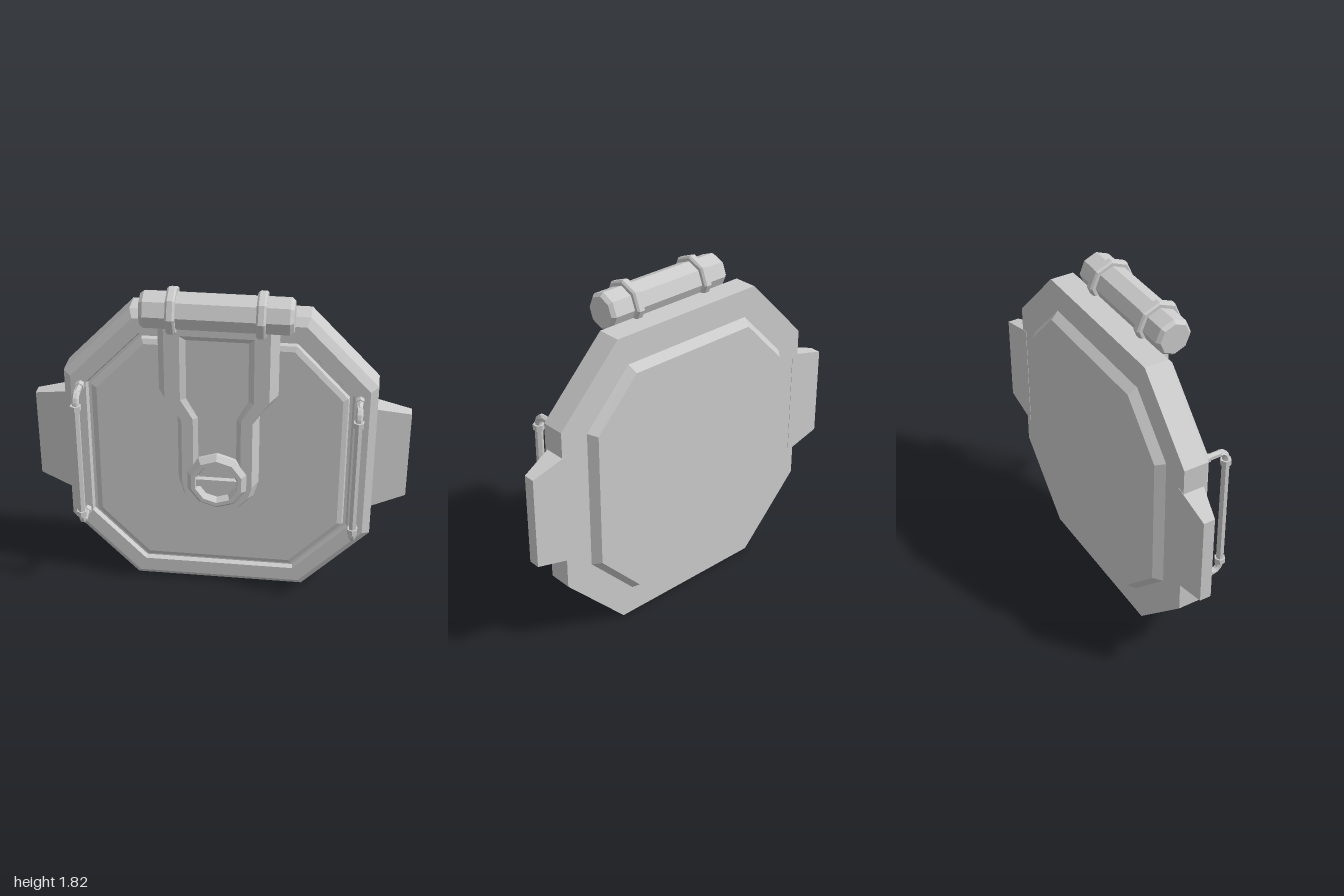
import * as THREE from 'three';

const mat = new THREE.MeshStandardMaterial({ color: 0xcccccc, flatShading: true });

function add(parent, name, geo, x = 0, y = 0, z = 0) {
  const m = new THREE.Mesh(geo, mat);
  m.name = name;
  m.position.set(x, y, z);
  parent.add(m);
  return m;
}

// Joins cross-sections {pts (counter-clockwise), z} in order, closing both ends
function loft(rings) {
  const pos = [];
  const put = (r, i) => pos.push(r.pts[i][0], r.pts[i][1], r.z);
  for (let k = 0; k < rings.length - 1; k++) {
    const a = rings[k], b = rings[k + 1], n = a.pts.length;
    for (let i = 0; i < n; i++) {
      const j = (i + 1) % n;
      put(a, i); put(a, j); put(b, j);
      put(a, i); put(b, j); put(b, i);
    }
  }
  const cap = (r, flip) => {
    const v = r.pts.map(p => new THREE.Vector2(p[0], p[1]));
    for (const [a, b, c] of THREE.ShapeUtils.triangulateShape(v, [])) {
      put(r, a); put(r, flip ? c : b); put(r, flip ? b : c);
    }
  };
  cap(rings[0], true);
  cap(rings[rings.length - 1], false);
  const g = new THREE.BufferGeometry();
  g.setAttribute('position', new THREE.Float32BufferAttribute(pos, 3));
  g.computeVertexNormals();
  return g;
}

// Door octagon, inset evenly by d
function octagon(d) {
  const w = 0.82 - d, h = 0.8225 - d, fx = 0.46 - 0.414 * d, fy = 0.45 - 0.414 * d;
  return [[w, -fy], [w, fy], [fx, h], [-fx, h], [-w, fy], [-w, -fy], [-fx, -h], [fx, -h]]
    .map(([x, y]) => [x, y + 0.8225]);
}

// Mirrors the left half of an outline (top to bottom centre) into a closed loop
function mirrored(half) {
  const left = half.slice(0, -1).map(([x, y]) => [-x, y]);
  return [...left, ...half.slice().reverse()];
}

// Lathe with few sides from [radius, height] points
function turned(points, sides) {
  return new THREE.LatheGeometry(points.map(p => new THREE.Vector2(...p)), sides);
}

function makeHandle() {
  const g = new THREE.Group();
  g.name = 'handle';
  const midY = 0.82, reach = 0.153;
  add(g, 'handleRod', new THREE.CylinderGeometry(0.021, 0.021, 0.68, 6), 0, midY, reach);
  for (const s of [-1, 1]) {
    const at = d => midY + s * d;
    add(g, 'handleCollar', new THREE.CylinderGeometry(0.03, 0.03, 0.03, 6), 0, at(0.325), reach);
    const foot = add(g, 'handleFoot', new THREE.CylinderGeometry(0.024, 0.024, 0.04, 6), 0, at(0.39), 0.03);
    foot.rotation.x = Math.PI / 2;
    const stem = add(g, 'handleStem', new THREE.CylinderGeometry(0.018, 0.018, 0.07, 6), 0, at(0.39), 0.08);
    stem.rotation.x = Math.PI / 2;
    const bend = new THREE.QuadraticBezierCurve3(
      new THREE.Vector3(0, at(0.39), 0.11),
      new THREE.Vector3(0, at(0.39), reach),
      new THREE.Vector3(0, at(0.335), reach));
    add(g, 'handleElbow', new THREE.TubeGeometry(bend, 4, 0.019, 6));
  }
  return g;
}

export function createModel() {
  const model = new THREE.Group();
  model.name = 'hatch';

  // Door: raised back plate, bevelled rim, groove and front panel as [inset, z]
  const door = [[0.19, -0.195], [0.155, -0.15], [0, -0.15], [0, -0.02], [0.04, 0.015],
    [0.12, 0.015], [0.13, -0.01], [0.145, -0.01], [0.152, 0.01], [0.178, 0.022]];
  add(model, 'door', loft(door.map(([d, z]) => ({ pts: octagon(d), z }))));

  // Tapered side lugs, flat at the back
  for (const s of [-1, 1]) {
    const geo = new THREE.BoxGeometry(0.22, 1, 1);
    geo.translate(s * 0.89, 0, 0);
    const p = geo.attributes.position;
    for (let i = 0; i < p.count; i++) {
      const t = (1 - Math.abs(p.getX(i))) / 0.18;
      p.setY(i, 0.835 + Math.sign(p.getY(i)) * (0.25 + 0.0475 * t));
      p.setZ(i, p.getZ(i) > 0 ? -0.09 + 0.055 * t : -0.152);
    }
    geo.computeVertexNormals();
    add(model, 'sideLug', geo);
  }

  // Hinge arm with sloping sides and a shallow recess in its face
  const armBase = [[0.31, 1.64], [0.31, 1.22], [0.215, 1.09], [0.215, 0.69], [0.19, 0.6], [0.12, 0.525], [0, 0.49]];
  const armFace = [[0.27, 1.64], [0.27, 1.21], [0.185, 1.08], [0.185, 0.69], [0.165, 0.62], [0.105, 0.555], [0, 0.53]];
  const recessEdge = [[0.19, 1.565], [0.19, 1.2], [0.125, 1.09], [0.125, 0.69], [0.11, 0.65], [0.06, 0.62], [0, 0.61]];
  const recessFloor = [[0.16, 1.535], [0.16, 1.2], [0.1, 1.09], [0.1, 0.69], [0.09, 0.66], [0.05, 0.64], [0, 0.63]];
  add(model, 'hingeArm', loft([
    { pts: mirrored(armBase), z: 0 },
    { pts: mirrored(armBase), z: 0.03 },
    { pts: mirrored(armFace), z: 0.105 },
    { pts: mirrored(recessEdge), z: 0.105 },
    { pts: mirrored(recessFloor), z: 0.085 },
  ]));

  // Round lock with a dished face and a cross bar
  const lock = turned([[0.165, 0.07], [0.165, 0.105], [0.14, 0.135], [0.118, 0.135], [0.1, 0.1], [0, 0.1]], 10);
  add(model, 'lock', lock.rotateX(Math.PI / 2), 0, 0.72, 0);
  add(model, 'lockBar', new THREE.BoxGeometry(0.215, 0.042, 0.035), 0, 0.72, 0.113);

  // Hinge barrel with chamfered ends and two bands
  const barrel = turned([[0, -0.385], [0.083, -0.385], [0.1, -0.365], [0.1, 0.365], [0.083, 0.385], [0, 0.385]], 8);
  add(model, 'hingeBarrel', barrel.rotateZ(Math.PI / 2), 0, 1.6875, 0.067);
  for (const s of [-1, 1]) {
    const band = turned([[0.09, -0.024], [0.118, -0.024], [0.128, -0.014], [0.128, 0.014], [0.118, 0.024], [0.09, 0.024]], 8);
    add(model, 'hingeBand', band.rotateZ(Math.PI / 2), s * 0.225, 1.6875, 0.067);
  }

  // Grab handles on both sides
  for (const s of [-1, 1]) {
    const handle = makeHandle();
    handle.position.x = s * 0.728;
    model.add(handle);
  }
  return model;
}
